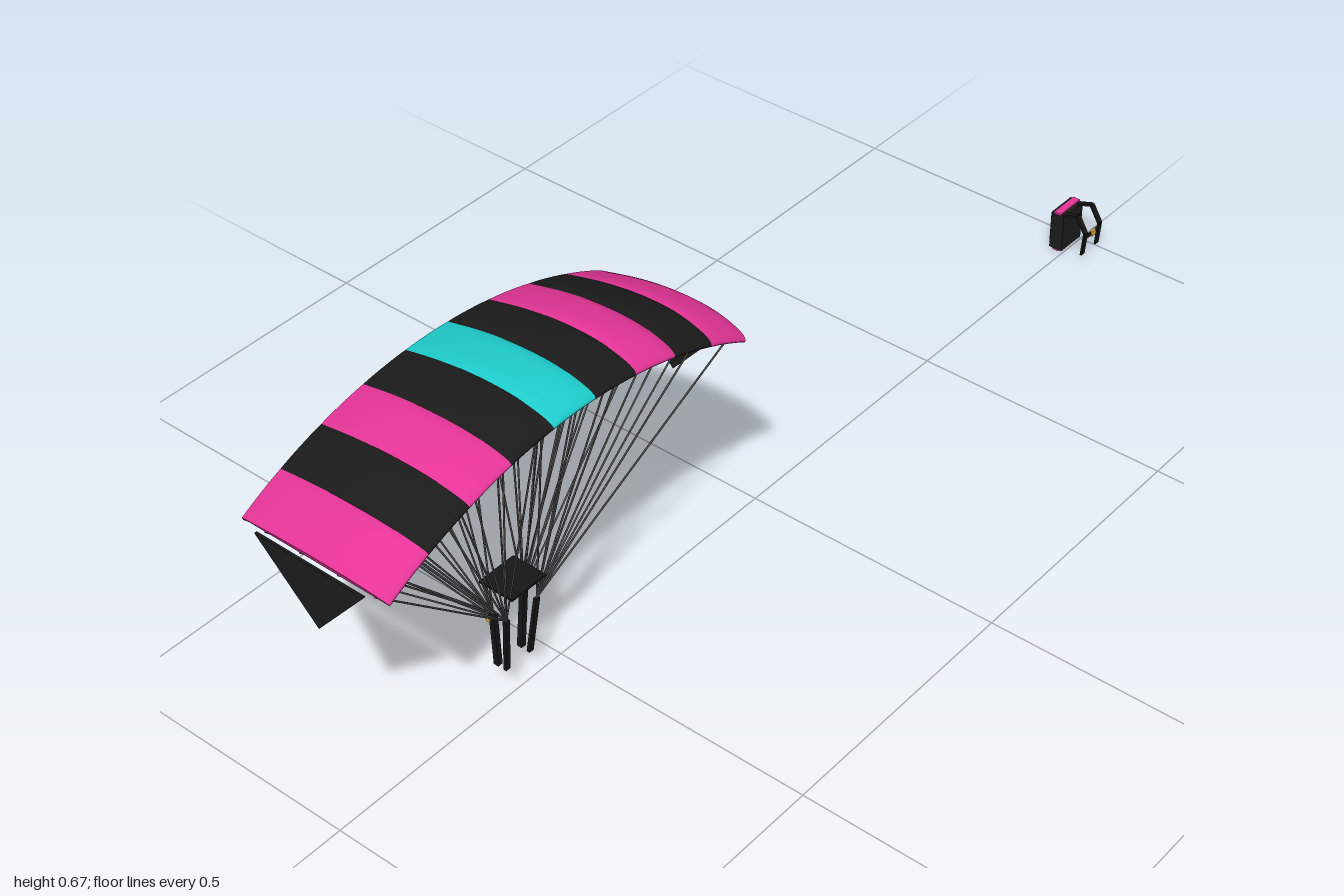
import * as THREE from 'three';
import { ParametricGeometry } from 'three/addons/geometries/ParametricGeometry.js';

export function createModel() {
  const mat = (name, color, side = THREE.FrontSide) => {
    const m = new THREE.MeshStandardMaterial({ color, side });
    m.name = name;
    return m;
  };
  const pink = mat('pink fabric', 0xe63598, THREE.DoubleSide);
  const black = mat('black fabric', 0x1b1b1b, THREE.DoubleSide);
  const cyan = mat('cyan fabric', 0x1fcccc, THREE.DoubleSide);
  const webbing = mat('dark webbing', 0x161616);
  const cord = mat('grey cord', 0x505050);
  const yellow = mat('yellow hardware', 0xe0b030);

  const model = new THREE.Group();
  model.name = 'parachuteAndPack';
  const V = (x, y, z) => new THREE.Vector3(x, y, z);
  const group = (name, x) => {
    const g = new THREE.Group();
    g.name = name;
    g.position.x = x;
    model.add(g);
    return g;
  };
  const add = (parent, name, geo, material, x = 0, y = 0, z = 0) => {
    const m = new THREE.Mesh(geo, material);
    m.name = name;
    m.position.set(x, y, z);
    parent.add(m);
    return m;
  };
  const box = (parent, name, w, h, d, material, x, y, z) =>
    add(parent, name, new THREE.BoxGeometry(w, h, d), material, x, y, z);
  // Stretches a y-aligned geometry between two points
  const between = (parent, name, a, b, makeGeo, material) => {
    const d = b.clone().sub(a);
    const m = add(parent, name, makeGeo(d.length()), material);
    m.position.copy(a).lerp(b, 0.5);
    m.quaternion.setFromUnitVectors(V(0, 1, 0), d.normalize());
  };
  const strap = (parent, name, a, b, w, t) =>
    between(parent, name, a, b, (l) => new THREE.BoxGeometry(w, l, t), webbing);
  const line = (parent, name, a, b) =>
    between(parent, name, a, b, (l) => new THREE.CylinderGeometry(0.0016, 0.0016, l, 6), cord);

  // Canopy: nine inflated cells along an arc
  const chute = group('parachute', -0.598);
  const R = 0.805, CY = -0.17, HALF = 0.503, CELLS = 9;
  const STEP = (2 * HALF) / CELLS;
  const profile = new THREE.CatmullRomCurve3([
    [0.149, 0.0005], [0.15, 0.004], [0.142, 0.012], [0.115, 0.022], [0.08, 0.029],
    [0.04, 0.0315], [-0.02, 0.0285], [-0.08, 0.019], [-0.147, 0.002],
  ].map(([z, h]) => V(0, h, z)));
  const onArc = (a, r, z, target) => target.set(Math.sin(a) * r, CY + Math.cos(a) * r, z);

  const colours = [pink, black, pink, black, cyan, black, pink, black, pink];
  const p = V(0, 0, 0);
  colours.forEach((material, i) => {
    const start = -HALF + i * STEP;
    const top = (u, v, t) => {
      profile.getPoint(v, p);
      const puff = 0.86 + 0.14 * (1 - Math.pow(2 * u - 1, 4));
      onArc(start + u * STEP, R + p.y * puff, p.z, t);
    };
    const bottom = (u, v, t) => onArc(start + u * STEP, R, -0.147 + 0.296 * v, t);
    add(chute, 'canopyCellTop', new ParametricGeometry(top, 10, 28), material);
    add(chute, 'canopyCellBottom', new ParametricGeometry(bottom, 4, 4), material);
  });

  // Outline of the hanging triangular stabilizers
  const finShape = new THREE.Shape([
    new THREE.Vector2(0.117, 0.528), new THREE.Vector2(-0.103, 0.528), new THREE.Vector2(0, 0.41),
  ]);

  for (const s of [-1, 1]) {
    // Side wall closing the wing tip
    const wall = (u, v, t) => {
      profile.getPoint(s > 0 ? u : 1 - u, p);
      onArc(s * HALF, R + p.y * 0.86 * v, p.z, t);
    };
    add(chute, 'canopyTipWall', new ParametricGeometry(wall, 28, 1), pink);

    const finGeo = new THREE.ExtrudeGeometry(finShape, { depth: 0.005, bevelEnabled: false });
    const fin = add(chute, 'stabilizer', finGeo, black, s * 0.392 - 0.0025, 0, 0);
    fin.rotation.y = Math.PI / 2;

    // Risers
    const frontTop = V(s * 0.035, 0.176, 0.015);
    const rearTop = V(s * 0.035, 0.176, -0.013);
    strap(chute, 'frontRiser', V(s * 0.027, 0.06, 0.001), frontTop, 0.01, 0.006);
    strap(chute, 'rearRiser', V(s * 0.027, 0.06, -0.018), rearTop, 0.01, 0.01);
    box(chute, 'brakeToggle', 0.011, 0.013, 0.007, yellow, s * 0.036, 0.165, -0.0195);

    // Suspension lines from each rib
    for (let k = 0; k < 5; k++) {
      const a = s * (k + 0.5) * STEP;
      [[0.12, frontTop], [0.047, frontTop], [-0.029, rearTop], [-0.1, rearTop]].forEach(([z, end]) =>
        line(chute, 'suspensionLine', onArc(a, R, z, V(0, 0, 0)), end));
      if (k > 2) {
        line(chute, 'brakeLine', onArc(a, R, -0.145, V(0, 0, 0)), V(s * 0.035, 0.168, -0.02));
      }
    }
  }

  // Slider sheet spreading the lines
  box(chute, 'slider', 0.078, 0.004, 0.07, webbing, 0, 0.232, 0);

  // Backpack
  const pack = group('backpack', 0.9675);
  box(pack, 'packBody', 0.065, 0.08, 0.028, black, 0, 0.045, -0.015);
  box(pack, 'packPocket', 0.05, 0.065, 0.006, webbing, 0, 0.045, -0.031);
  box(pack, 'topStripe', 0.065, 0.004, 0.015, pink, 0, 0.086, -0.016);
  box(pack, 'bottomStripe', 0.06, 0.004, 0.013, pink, 0, 0.002, -0.016);
  box(pack, 'ripHandle', 0.012, 0.012, 0.01, yellow, 0.023, 0.012, -0.034);
  box(pack, 'closingPin', 0.008, 0.008, 0.002, yellow, -0.004, 0.047, -0.0345);

  // Shoulder straps
  const path = [V(0, 0.085, -0.004), V(0, 0.095, 0.025), V(0, 0.062, 0.045), V(0, 0.013, 0.041)];
  for (const s of [-1, 1]) {
    for (let i = 0; i < 3; i++) {
      const [a, b] = [path[i], path[i + 1]].map((q) => q.clone().setX(s * 0.024));
      strap(pack, 'shoulderStrap', a, b, 0.011, 0.004);
    }
  }
  box(pack, 'chestStrap', 0.052, 0.007, 0.004, webbing, 0, 0.053, 0.045);
  box(pack, 'chestBuckle', 0.014, 0.011, 0.005, yellow, 0, 0.053, 0.0465);

  return model;
}
